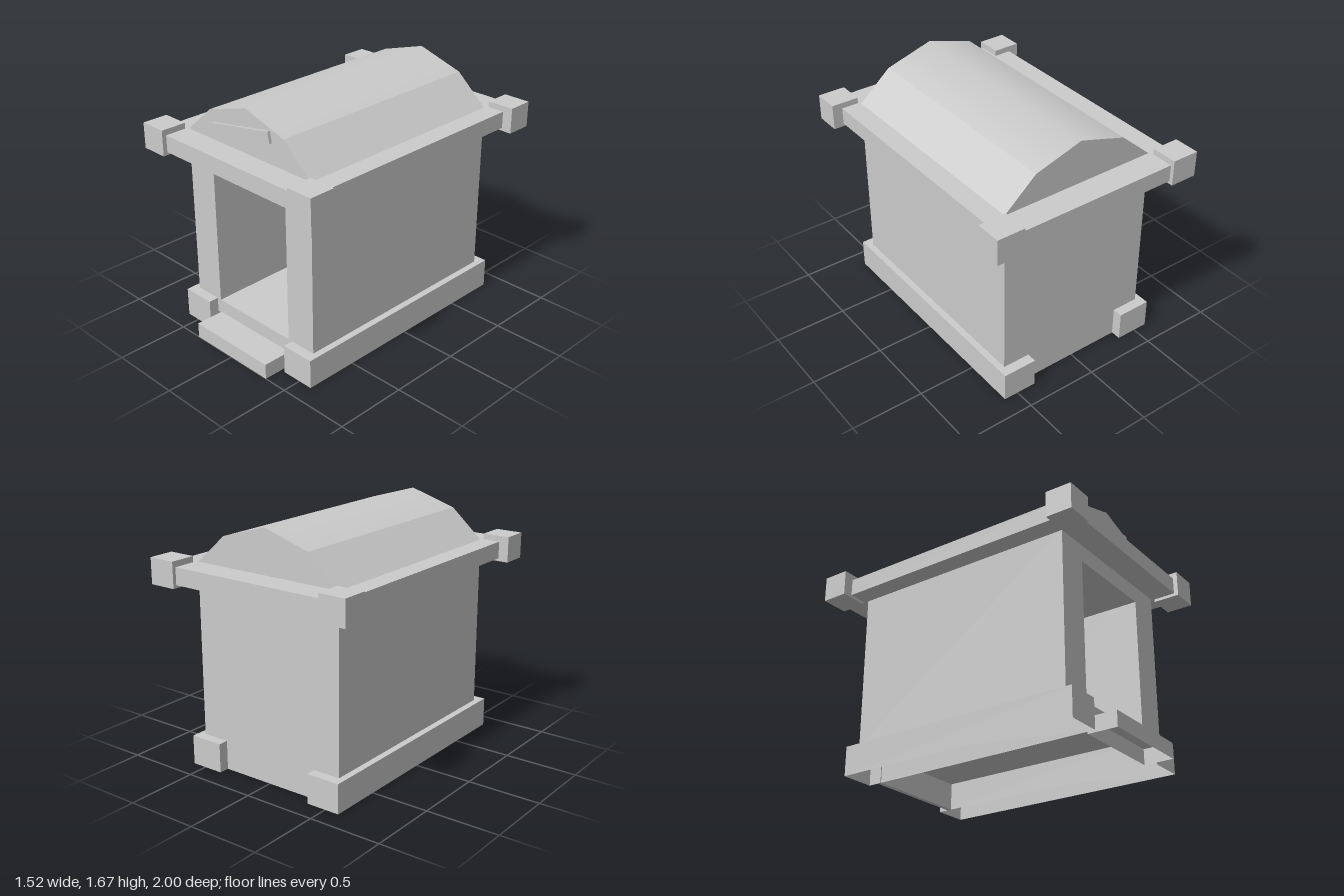
import * as THREE from 'three';

const grey = new THREE.MeshStandardMaterial({ color: 0xcccccc, side: THREE.DoubleSide });

export function createModel() {
  const group = new THREE.Group();
  const add = (name, geometry) => {
    const mesh = new THREE.Mesh(geometry, grey);
    mesh.name = name;
    group.add(mesh);
    return mesh;
  };
  // Box given by its limits on each axis
  const box = (name, x0, x1, y0, y1, z0, z1) => {
    const mesh = add(name, new THREE.BoxGeometry(x1 - x0, y1 - y0, z1 - z0));
    mesh.position.set((x0 + x1) / 2, (y0 + y1) / 2, (z0 + z1) / 2);
    return mesh;
  };
  // Remove the bottom face (fourth side of a box) to leave a hollow shell
  const openBottom = (mesh) => {
    const g = mesh.geometry;
    const index = Array.from(g.index.array);
    index.splice(18, 6);
    g.setIndex(index);
    g.clearGroups();
  };

  // Body: thick side walls, lintel, floor, back wall and sill around a deep doorway
  for (const s of [-1, 1]) {
    const wall = box('sideWall', -0.1115, 0.1115, 0.2, 1.27, -0.79, 0.8);
    wall.position.x = s * 0.4435;
  }
  box('lintel', -0.332, 0.332, 1.145, 1.27, -0.79, 0.8);
  box('floor', -0.37, 0.37, 0.185, 0.2, -0.78, 0.795);
  box('backWall', -0.37, 0.37, 0, 1.27, -0.79, -0.76);
  box('doorSill', -0.37, 0.37, 0.1, 0.2, 0.78, 0.8);

  // Base rails, hollow underneath
  for (const s of [-1, 1]) {
    const rail = box('baseRail', -0.118, 0.118, 0, 0.2, -0.86, 0.87);
    rail.position.x = s * 0.482;
    openBottom(rail);
  }

  // Front step, hollow underneath
  openBottom(box('frontStep', -0.332, 0.332, 0, 0.105, 0.8, 1));

  // Eave slab with corner blocks
  box('eave', -0.69, 0.69, 1.26, 1.375, -0.975, 0.97);
  for (const sx of [-1, 1]) {
    for (const sz of [-1, 1]) {
      const block = box('cornerBlock', -0.095, 0.095, 1.24, 1.415, -0.09, 0.09);
      block.position.x = sx * 0.665;
      block.position.z = sz * 0.91;
    }
  }

  // Faceted roof, softened across the ridge
  const profile = new THREE.Shape([
    [-0.555, 1.375], [0.555, 1.375], [0.332, 1.57], [0, 1.67], [-0.332, 1.57],
  ].map(([x, y]) => new THREE.Vector2(x, y)));
  const roof = new THREE.ExtrudeGeometry(profile, { depth: 1.59, bevelEnabled: false });
  roof.translate(0, 0, -0.79);
  const { position, normal } = roof.attributes;
  for (let i = 0; i < position.count; i++) {
    if (position.getY(i) > 1.66 && Math.abs(normal.getZ(i)) < 0.5) normal.setXYZ(i, 0, 1, 0);
  }
  add('roof', roof);

  // Tilted plaque on the front gable
  const plaque = box('plaque', -0.297, 0.227, 1.467, 1.543, 0.795, 0.82);
  plaque.rotation.z = 0.185;

  return group;
}
